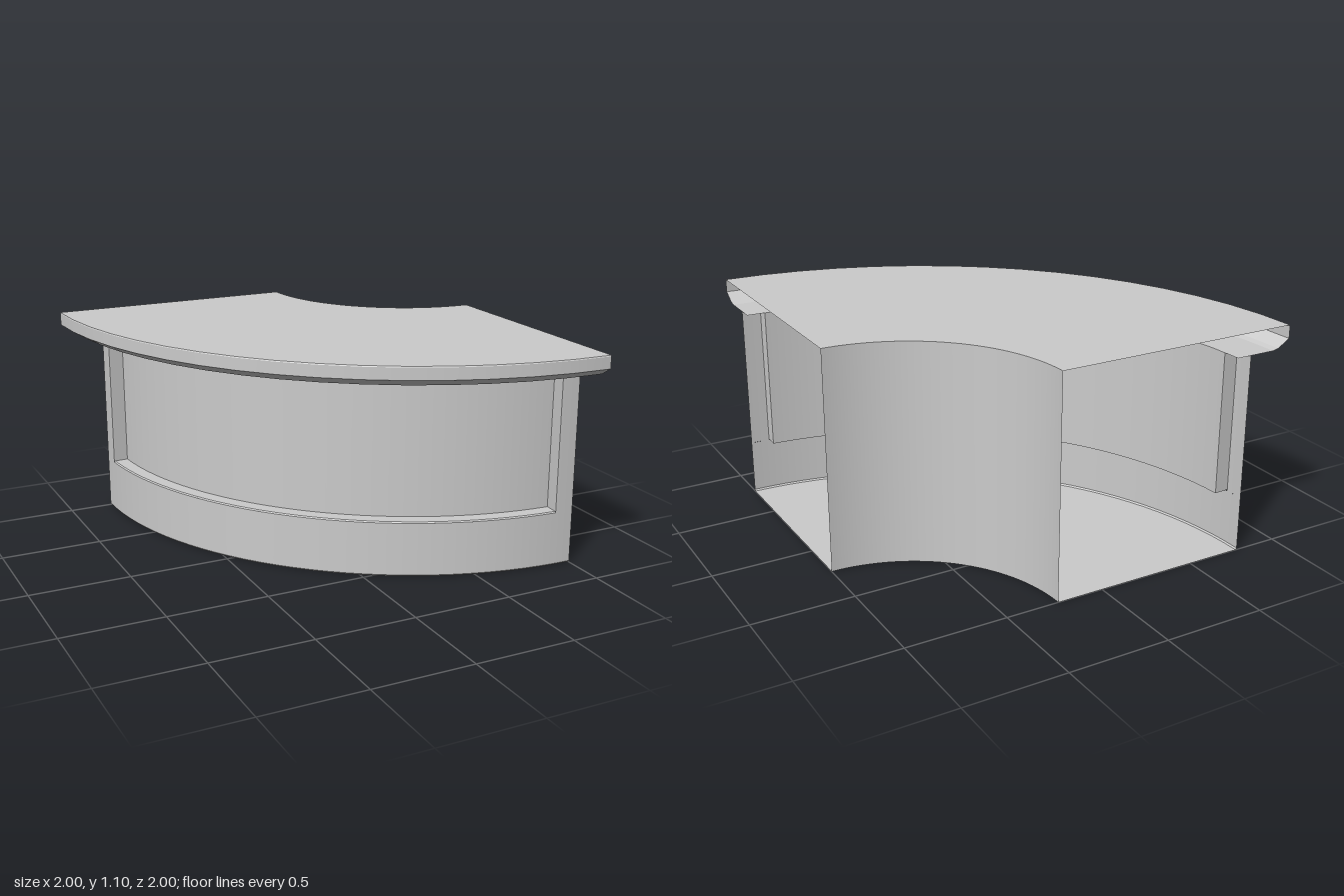
import * as THREE from 'three';

const material = new THREE.MeshStandardMaterial({ color: 0xcccccc, side: THREE.DoubleSide });
const START = -Math.PI / 2;   // one open end of the quarter sweep
const R_IN = 0.765, R_PANEL = 1.705, R_BASE = 1.78, R_TOP = 2;
const Y_LEDGE = 0.28, Y_LIP = 0.99, Y_TOP = 1.1;
const POST = 0.095 / R_BASE;  // angle taken by an end post
const LIP_SEGS = 16, WALL_SEGS = 32;

// Sweeps a profile of [radius, height] pairs; each pair of points is its own crisp strip.
function sweep(name, profile, segs = WALL_SEGS, start = START, end = 0) {
  const group = new THREE.Group();
  group.name = name;
  for (let i = 0; i + 1 < profile.length; i++) {
    const pts = [profile[i], profile[i + 1]].map(([r, y]) => new THREE.Vector2(r, y));
    const strip = new THREE.Mesh(new THREE.LatheGeometry(pts, segs, start, end - start), material);
    strip.name = `${name}Strip`;
    group.add(strip);
  }
  return group;
}

// Flat quarter-ring sheet, facing up or down.
function sheet(name, outer, outerSegs, y, up) {
  const pts = [];
  const arc = (r, n, from, to) => {
    for (let i = 0; i <= n; i++) {
      const a = from + (to - from) * i / n;
      pts.push(new THREE.Vector2(r * Math.sin(a), up ? -r * Math.cos(a) : r * Math.cos(a)));
    }
  };
  arc(outer, outerSegs, START, 0);
  arc(R_IN, WALL_SEGS, 0, START);
  const mesh = new THREE.Mesh(new THREE.ShapeGeometry(new THREE.Shape(pts)), material);
  mesh.rotation.x = up ? -Math.PI / 2 : Math.PI / 2;
  mesh.position.y = y;
  mesh.name = name;
  return mesh;
}

export function createModel() {
  const model = new THREE.Group();
  model.name = 'cornerCounter';

  // Counter top with its chamfered overhanging lip
  model.add(sheet('counterTop', R_TOP, LIP_SEGS, Y_TOP, true));
  model.add(sweep('counterLip', [
    [R_PANEL, Y_LIP], [1.91, Y_LIP], [1.94, 0.997], [R_TOP, 1.035], [R_TOP, Y_TOP - 0.006], [R_TOP - 0.004, Y_TOP],
  ], LIP_SEGS));

  // Floor and concave inner wall
  model.add(sheet('floor', R_BASE - 0.006, WALL_SEGS, 0, false));
  model.add(sweep('innerWall', [[R_IN, Y_TOP], [R_IN, 0]]));

  // Base band with softened edges
  model.add(sweep('baseBand', [
    [R_BASE - 0.006, 0], [R_BASE, 0.008], [R_BASE, Y_LEDGE - 0.006],
  ]));

  // Recessed panel and the ledge below it
  model.add(sweep('recessedPanel', [
    [R_BASE, Y_LEDGE - 0.006], [R_BASE - 0.006, Y_LEDGE], [R_PANEL, Y_LEDGE], [R_PANEL, Y_LIP],
  ], WALL_SEGS, START + POST, -POST));

  // End posts: curved face and the flat side looking into the recess
  for (const [name, from, to, edge, turn] of [
    ['rightPost', START, START + POST, START + POST, Math.PI / 2],
    ['leftPost', -POST, 0, -POST, -Math.PI / 2],
  ]) {
    const post = sweep(name, [[R_BASE, Y_LEDGE - 0.006], [R_BASE, Y_LIP]], 2, from, to);
    const side = new THREE.Mesh(new THREE.PlaneGeometry(R_BASE - R_PANEL, Y_LIP - Y_LEDGE), material);
    const mid = (R_BASE + R_PANEL) / 2;
    side.position.set(mid * Math.sin(edge), (Y_LIP + Y_LEDGE) / 2, mid * Math.cos(edge));
    side.rotation.y = edge + turn;
    side.name = `${name}Side`;
    post.add(side);
    model.add(post);
  }

  // Put the sweep centre at the back corner
  for (const part of model.children) {
    part.position.x += 1;
    part.position.z -= 1;
  }
  return model;
}
